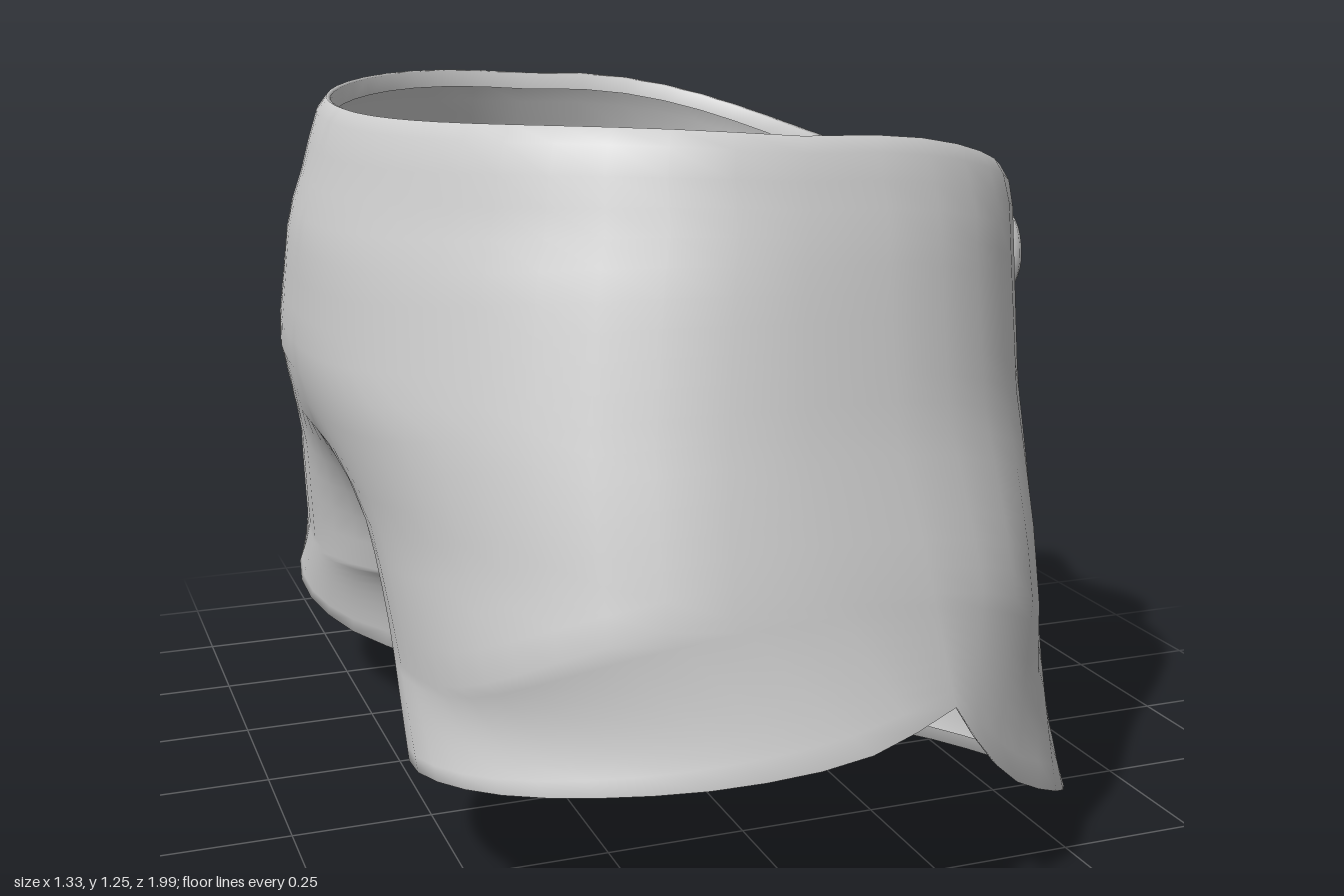
import * as THREE from 'three';
import { mergeVertices } from 'three/addons/utils/BufferGeometryUtils.js';

const V = (x, y, z) => new THREE.Vector3(x, y, z);
const curve = pts => new THREE.CatmullRomCurve3(pts.map(p => V(...p)), false, 'centripetal');
const { lerp, smoothstep } = THREE.MathUtils;

// Body levels: height, front x, back x, half width, front squareness, back squareness
const LEVELS = [
  [0.0, 0.57, -0.58, 0.96, 3.0, 3.6], [0.35, 0.545, -0.585, 0.965, 3.0, 3.5],
  [0.58, 0.545, -0.615, 0.92, 2.9, 2.75], [0.8, 0.56, -0.67, 0.86, 2.6, 2.25],
  [1.03, 0.57, -0.65, 0.805, 2.5, 2.1], [1.1, 0.57, -0.625, 0.785, 2.5, 2.1],
  [1.2, 0.56, -0.595, 0.75, 2.4, 2.2], [1.26, 0.545, -0.57, 0.735, 2.4, 2.2],
];

// Point on the body at an angle (0 front centre, PI back centre) and height
function bodyPoint(phi, y) {
  let i = 0;
  while (i < LEVELS.length - 2 && y > LEVELS[i + 1][0]) i++;
  const a = LEVELS[i], b = LEVELS[i + 1];
  const k = THREE.MathUtils.clamp((y - a[0]) / (b[0] - a[0]), 0, 1);
  const [, front, back, half, nFront, nBack] = a.map((v, m) => lerp(v, b[m], k));
  const mid = (front + back) / 2, c = Math.cos(phi);
  const n = c > 0 ? nFront : nBack;
  const x = mid + Math.sign(c) * (front - mid) * Math.abs(c) ** (2 / n);
  const z = half * Math.abs(Math.sin(phi)) ** (2 / n);
  // hollow towards the crotch along the centre seam
  const pull = Math.exp(-((z / 0.18) ** 2)) * (1 - smoothstep(y, 0.33, 0.7));
  return V(x * (1 - 0.3 * pull), y, z);
}

// Leg hem: front panel, back panel and inner edge, meeting at the side notch
const hemFront = curve([[0.39, 0.01, 0.15], [0.51, 0.0, 0.26], [0.575, 0.015, 0.43],
  [0.55, 0.07, 0.64], [0.44, 0.14, 0.81], [0.3, 0.22, 0.9], [0.22, 0.3, 0.94], [0.16, 0.385, 0.955]]);
const hemBack = curve([[0.16, 0.385, 0.955], [0, 0.345, 0.995], [-0.2, 0.315, 0.97],
  [-0.4, 0.285, 0.87], [-0.53, 0.25, 0.72], [-0.585, 0.205, 0.5], [-0.53, 0.17, 0.29], [-0.41, 0.135, 0.165]]);
const hemInner = curve([[-0.41, 0.135, 0.165], [-0.22, 0.09, 0.075], [-0.05, 0.05, 0.042],
  [0.18, 0.022, 0.065], [0.39, 0.01, 0.15]]);

const COLS = 32, NOTCH = 15, INNER = 12, ROWS = 16, LEG_ROWS = 8;

// One leg column: from the crotch level down to the hem, then a turned-in lip
function legColumn(top, hem) {
  const flare = lerp(1, 0.4, smoothstep(top.z, 0, 0.4));
  const mid = V(lerp(top.x, hem.x, flare), lerp(hem.y, top.y, lerp(0.4, 0.85, flare)),
    lerp(top.z, hem.z, flare * 0.85));
  const bend = new THREE.QuadraticBezierCurve3(top, mid, hem);
  const tuck = hem.clone().lerp(V(0, hem.y, 0.5), 0.018);
  const lip = hem.clone().lerp(V(0, hem.y, 0.5), 0.035);
  tuck.y += 0.005;
  lip.y += 0.035;
  return [...bend.getPoints(LEG_ROWS), tuck, lip];
}

function shortsGeometry() {
  const positions = [];
  const addGrid = columns => {
    for (let j = 0; j < columns.length - 1; j++) {
      for (let i = 0; i < columns[j].length - 1; i++) {
        const a = columns[j][i], b = columns[j + 1][i];
        const c = columns[j][i + 1], d = columns[j + 1][i + 1];
        for (const p of [a, b, c, b, d, c]) positions.push(p.x, p.y, p.z);
        for (const p of [a, c, b, b, c, d]) positions.push(p.x, p.y, -p.z);
      }
    }
  };
  // outer panel from waist to hem
  const outer = [];
  const crotchEnds = [];
  for (let j = 0; j <= COLS; j++) {
    const t = j / COLS;
    const phi = Math.PI * (t - 0.11 * Math.sin(2 * Math.PI * t));
    const c = Math.cos(phi);
    const waistY = c > 0 ? 1.24 - 0.14 * c ** 2.1 : 1.24 - 0.06 * c * (1 + c);
    const crotchY = 0.335 + 0.23 * Math.sin(phi) ** 2;
    const column = [];
    for (const [scale, drop] of [[0.965, 0.035], [0.972, 0.003], [0.985, 0]]) {
      const p = bodyPoint(phi, waistY);
      column.push(V(p.x * scale, waistY - drop, p.z * scale));
    }
    for (let i = 0; i < ROWS; i++) {
      column.push(bodyPoint(phi, lerp(waistY - 0.025, crotchY, i / ROWS)));
    }
    const top = bodyPoint(phi, crotchY);
    const hem = j <= NOTCH ? hemFront.getPointAt(j / NOTCH)
      : hemBack.getPointAt((j - NOTCH) / (COLS - NOTCH));
    outer.push([...column, ...legColumn(top, hem)]);
    if (j === 0 || j === COLS) crotchEnds.push(top);
  }
  addGrid(outer);
  // inner leg from the crotch seam to the hem
  const [front, back] = crotchEnds;
  const seam = curve([[back.x, back.y, 0], [-0.2, 0.315, 0], [0.1, 0.315, 0], [front.x, front.y, 0]]);
  const inner = [];
  for (let j = 0; j <= INNER; j++) {
    inner.push(legColumn(seam.getPointAt(j / INNER), hemInner.getPointAt(j / INNER)));
  }
  addGrid(inner);
  let geometry = new THREE.BufferGeometry();
  geometry.setAttribute('position', new THREE.Float32BufferAttribute(positions, 3));
  geometry = mergeVertices(geometry, 1e-4);
  geometry.computeVertexNormals();
  return geometry;
}

export function createModel() {
  const group = new THREE.Group();
  const fabric = new THREE.MeshStandardMaterial({ color: 0xcccccc, side: THREE.DoubleSide });
  fabric.name = 'greyFabric';
  const add = (name, geometry, parent = group) => {
    const mesh = new THREE.Mesh(geometry, fabric);
    mesh.name = name;
    parent.add(mesh);
    return mesh;
  };
  add('shorts', shortsGeometry());

  // Drawstring bow on the front
  const bow = new THREE.Group();
  bow.name = 'drawstringBow';
  group.add(bow);
  const knot = add('knot', new THREE.SphereGeometry(0.04, 12, 10), bow);
  knot.position.set(0.588, 0.995, 0);
  knot.scale.set(0.8, 1.1, 1.2);
  for (const s of [1, -1]) {
    const loop = new THREE.CatmullRomCurve3([[0.59, 1.0, 0.02], [0.605, 1.025, 0.09],
      [0.625, 1.034, 0.16], [0.638, 1.0, 0.215], [0.64, 0.93, 0.23], [0.635, 0.888, 0.205],
      [0.62, 0.9, 0.16], [0.605, 0.945, 0.09]].map(([x, y, z]) => V(x, y, z * s)), true);
    add('bowLoop', new THREE.TubeGeometry(loop, 40, 0.025, 8, true), bow);
    // hanging end, widening downwards
    const from = V(0.59, 0.98, 0.03 * s), to = V(0.62, 0.66, 0.125 * s);
    const tail = add('bowTail', new THREE.CylinderGeometry(0.022, 0.034, from.distanceTo(to), 10), bow);
    tail.position.copy(from).lerp(to, 0.5);
    tail.quaternion.setFromUnitVectors(V(0, 1, 0), from.clone().sub(to).normalize());
    tail.scale.x = 0.8;
  }
  return group;
}
